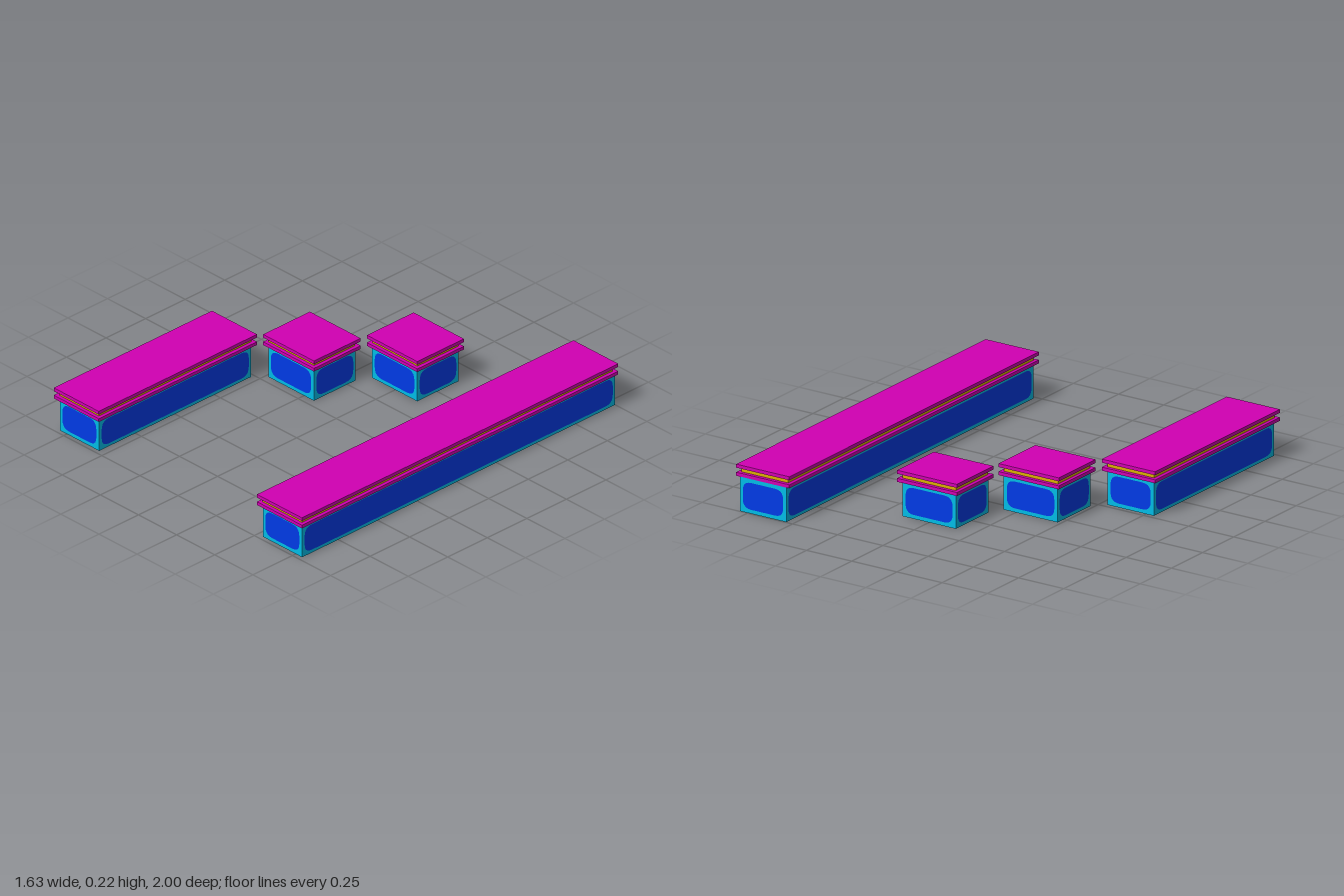
import * as THREE from 'three';

const mat = (name, color) => {
  const m = new THREE.MeshStandardMaterial({ color });
  m.name = name;
  return m;
};

export function createModel() {
  const magenta = mat('magenta', 0xd000b2);
  const gold = mat('gold', 0xdcae00);
  const cyan = mat('cyan', 0x00bce6);
  const blue = mat('blue', 0x003ae6);

  // Heights: base, lower plate, recessed band, upper plate
  const Y0 = 0.001, Y1 = 0.169, Y2 = 0.186, Y3 = 0.208, TOP = 0.225, GAP = 0.001;

  // Flat rounded rectangle facing +z
  function roundedFace(w, h, r) {
    const x = w / 2, y = h / 2, s = new THREE.Shape();
    s.moveTo(-x + r, -y);
    s.lineTo(x - r, -y);
    s.quadraticCurveTo(x, -y, x, -y + r);
    s.lineTo(x, y - r);
    s.quadraticCurveTo(x, y, x - r, y);
    s.lineTo(-x + r, y);
    s.quadraticCurveTo(-x, y, -x, y - r);
    s.lineTo(-x, -y + r);
    s.quadraticCurveTo(-x, -y, -x + r, -y);
    return new THREE.ShapeGeometry(s, 5);
  }

  function add(parent, name, geometry, material, x, y, z) {
    const m = new THREE.Mesh(geometry, material);
    m.name = name;
    m.position.set(x, y, z);
    parent.add(m);
    return m;
  }

  // Box given by its limits
  function box(parent, name, material, [x0, x1], [y0, y1], [z0, z1]) {
    return add(parent, name, new THREE.BoxGeometry(x1 - x0, y1 - y0, z1 - z0), material,
      (x0 + x1) / 2, (y0 + y1) / 2, (z0 + z1) / 2);
  }

  // A panelled base under two overhanging plates with a recessed band between them
  function counter(name, slabX, slabZ, bodyX, bodyZ) {
    const g = new THREE.Group();
    g.name = name;
    const [x0, x1] = bodyX, [z0, z1] = bodyZ;
    const w = x1 - x0, d = z1 - z0, cx = (x0 + x1) / 2, cz = (z0 + z1) / 2;
    const inset = ([a, b]) => [a + 0.018, b - 0.018];
    box(g, 'base', cyan, bodyX, [Y0, Y1], bodyZ);
    box(g, 'lowerPlate', magenta, slabX, [Y1, Y2], slabZ);
    box(g, 'recessedBand', gold, inset(slabX), [Y2, Y3], inset(slabZ));
    box(g, 'upperPlate', magenta, slabX, [Y3, TOP], slabZ);

    // Blue panels, mirrored front/back and left/right
    for (const s of [1, -1]) {
      add(g, 'endPanel', roundedFace(w - 0.035, 0.13, 0.045), blue,
        cx, 0.085, cz + s * (d / 2 + GAP)).rotation.y = s > 0 ? 0 : Math.PI;
      add(g, 'sidePanel', roundedFace(d - 0.03, 0.134, 0.045), blue,
        cx + s * (w / 2 + GAP), 0.084, cz).rotation.y = s * Math.PI / 2;
    }
    add(g, 'underside', new THREE.PlaneGeometry(w - 0.012, d - 0.012), blue,
      cx, Y0 - 0.0005, cz).rotation.x = Math.PI / 2;
    return g;
  }

  const model = new THREE.Group();
  model.name = 'counterSet';
  const right = counter('rightCounter', [-0.815, -0.52], [0, 1], [-0.795, -0.538], [0.02, 0.98]);
  // Magenta patch beneath the right counter
  add(right, 'undersidePatch', new THREE.PlaneGeometry(0.245, 0.28), magenta,
    -0.667, 0, 0.53).rotation.x = Math.PI / 2;
  model.add(
    right,
    counter('middleBlock', [-0.5, -0.167], [-0.315, -0.02], [-0.483, -0.185], [-0.3, -0.037]),
    counter('rearBlock', [-0.167, 0.163], [-0.65, -0.355], [-0.15, 0.145], [-0.633, -0.372]),
    counter('leftCounter', [0.518, 0.812], [-1, 1], [0.535, 0.793], [-0.998, 0.98]),
  );
  return model;
}
